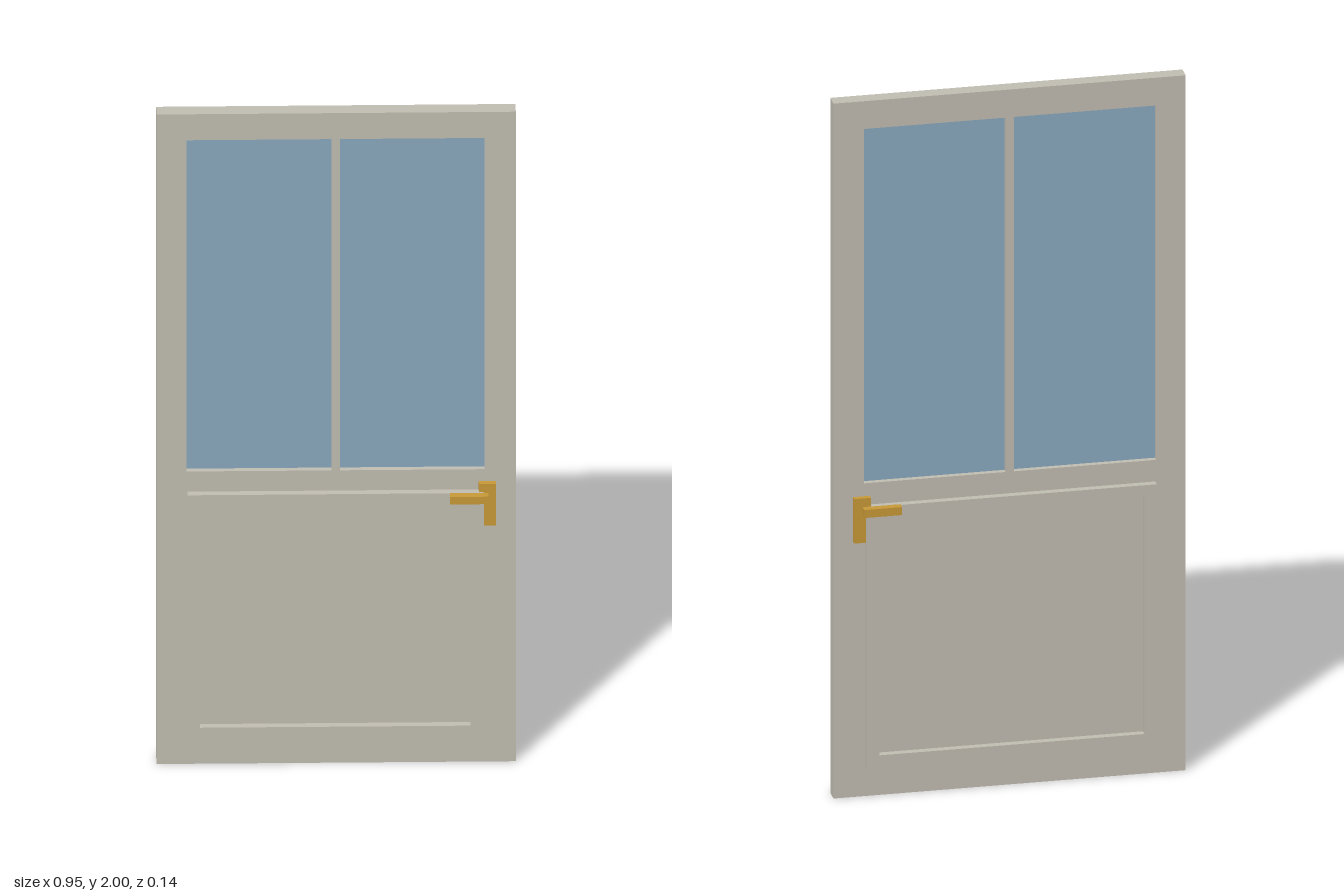
import * as THREE from 'three';

const paint = new THREE.MeshStandardMaterial({ color: 0xc2beb2 });
paint.name = 'warm grey paint';
const glass = new THREE.MeshStandardMaterial({ color: 0x8aaac0 });
glass.name = 'blue glass';
const brass = new THREE.MeshStandardMaterial({ color: 0xc99a38 });
brass.name = 'brass';

// Trace a rectangle onto a shape or hole
function rect(path, [x0, x1, y0, y1]) {
  path.moveTo(x0, y0);
  path.lineTo(x1, y0);
  path.lineTo(x1, y1);
  path.lineTo(x0, y1);
  path.closePath();
  return path;
}

// Flat slab with rectangular openings, between z0 and z1
function slab(name, outer, holes, z0, z1, material) {
  const shape = rect(new THREE.Shape(), outer);
  for (const h of holes) shape.holes.push(rect(new THREE.Path(), h));
  const geometry = new THREE.ExtrudeGeometry(shape, { depth: z1 - z0, bevelEnabled: false });
  geometry.translate(0, 0, z0);
  const mesh = new THREE.Mesh(geometry, material);
  mesh.name = name;
  return mesh;
}

// Box given by its limits
function block(name, [x0, x1, y0, y1], z0, z1, material) {
  const mesh = new THREE.Mesh(new THREE.BoxGeometry(x1 - x0, y1 - y0, z1 - z0), material);
  mesh.position.set((x0 + x1) / 2, (y0 + y1) / 2, (z0 + z1) / 2);
  mesh.name = name;
  return mesh;
}

export function createModel() {
  const door = new THREE.Group();
  door.name = 'door';

  // Door leaf with two window openings
  const windows = [[-0.395, -0.012, 0.9, 1.92], [0.01, 0.392, 0.9, 1.92]];
  door.add(slab('doorLeaf', [-0.475, 0.475, 0, 2], windows, -0.02, 0.02, paint));

  // Recessed panes
  windows.forEach((w, i) => door.add(block(i ? 'leftPane' : 'rightPane', w, -0.005, 0.005, glass)));

  // Moulding, lock plate and lever on both faces
  for (const side of [1, -1]) {
    const label = side > 0 ? 'front' : 'back';
    const span = (a, b) => (side > 0 ? [a, b] : [-b, -a]);
    door.add(
      slab(label + 'PanelMoulding', [-0.393, 0.39, 0.088, 0.838],
        [[-0.36, 0.355, 0.122, 0.805]], ...span(0.02, 0.039), paint),
      block(label + 'LockPlate', [0.377, 0.422, 0.735, 0.863], ...span(0.02, 0.034), brass),
      block(label + 'Lever', [0.3, 0.402, 0.822, 0.845], ...span(0.05, 0.07), brass)
    );
  }
  return door;
}
